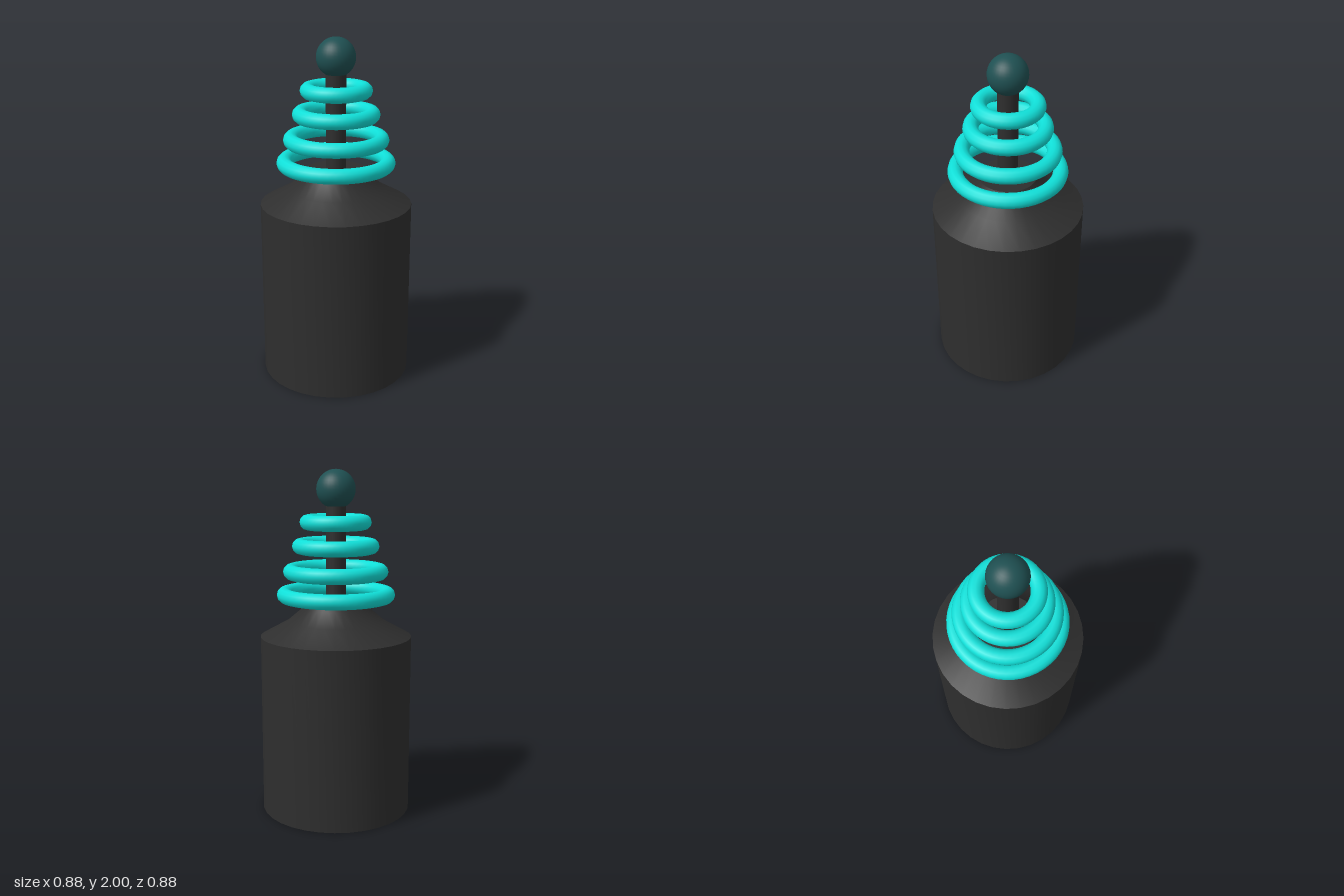
import * as THREE from 'three';
import { toCreasedNormals } from 'three/addons/utils/BufferGeometryUtils.js';

export function createModel() {
  const model = new THREE.Group();
  model.name = 'coilTopModel';

  const dark = new THREE.MeshStandardMaterial({ color: 0x2e2e2e });
  const cyan = new THREE.MeshStandardMaterial({ color: 0x10dfd8 });
  const teal = new THREE.MeshStandardMaterial({ color: 0x1f5052 });

  const add = (name, geometry, material, x, y) => {
    const mesh = new THREE.Mesh(geometry, material);
    mesh.name = name;
    mesh.position.set(x, y, 0);
    model.add(mesh);
    return mesh;
  };

  // Cylindrical body with a sloping shoulder and a flat neck
  const profile = [
    [0, 0], [0.44, 0], [0.44, 1.045], [0.285, 1.13],
    [0.19, 1.21], [0.168, 1.25], [0, 1.25],
  ].map(([r, y]) => new THREE.Vector2(r, y));
  add('body', toCreasedNormals(new THREE.LatheGeometry(profile, 32), 0.6), dark, 0, 0);

  // Central rod
  add('rod', new THREE.CylinderGeometry(0.058, 0.058, 0.6, 32), dark, 0, 1.53);

  // Ball on the tip
  add('ball', new THREE.SphereGeometry(0.112, 32, 20), teal, 0, 1.888);

  // Four stacked rings, shrinking upwards: [height, outer radius, sideways shift]
  const tube = 0.044;
  const rings = [
    [1.286, 0.343, 0], [1.42, 0.304, 0.002], [1.566, 0.251, 0.002], [1.702, 0.206, 0.003],
  ];
  rings.forEach(([y, outer, x], i) => {
    const geometry = new THREE.TorusGeometry(outer - tube, tube, 12, 48);
    geometry.rotateX(Math.PI / 2);
    add(`ring${i + 1}`, geometry, cyan, x, y);
  });

  return model;
}
